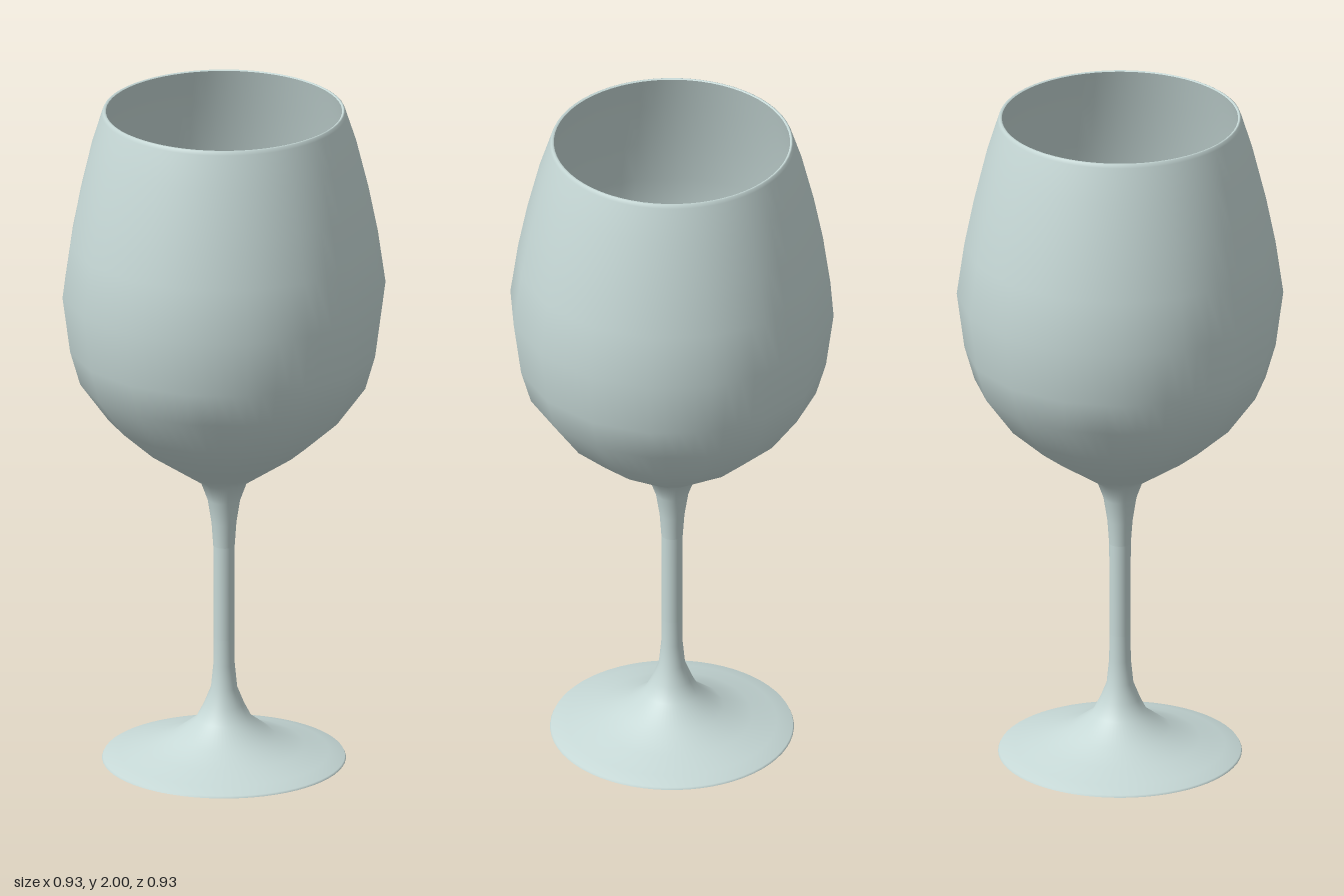
import * as THREE from 'three';

const SEGMENTS = 64; // round edges (rim and foot)
const SIDES = 16;    // faceted silhouette of bowl and stem

// Turns a profile of [radius, height, facet]; facet 1 pulls the ring onto a 16-sided polygon,
// while the normals stay those of the smooth round form.
function turned(name, profile, material) {
  const geometry = new THREE.LatheGeometry(profile.map(([r, y]) => new THREE.Vector2(r, y)), SEGMENTS);
  const position = geometry.attributes.position;
  const step = (2 * Math.PI) / SIDES;
  for (let i = 0; i < position.count; i++) {
    const facet = profile[i % profile.length][2] ?? 0;
    const angle = (Math.floor(i / profile.length) / SEGMENTS) * 2 * Math.PI;
    const polygon = Math.cos(step / 2) / Math.cos((angle % step) - step / 2);
    const k = 1 + (polygon - 1) * facet;
    position.setX(i, position.getX(i) * k);
    position.setZ(i, position.getZ(i) * k);
  }
  const mesh = new THREE.Mesh(geometry, material);
  mesh.name = name;
  return mesh;
}

export function createModel() {
  const group = new THREE.Group();
  group.name = 'wineGlass';
  const glass = new THREE.MeshStandardMaterial({ color: 0xc6d8d6, side: THREE.DoubleSide });

  // Shallow underside of the foot
  const footBase = [[0, 0], [0.15, 0.003], [0.25, 0.012], [0.348, 0.037]];

  // Foot rising into the stem
  const foot = [
    [0.348, 0.037], [0.345, 0.043], [0.3, 0.056], [0.23, 0.077, 0.5], [0.148, 0.106, 1],
    [0.08, 0.157, 1], [0.058, 0.2, 1], [0.038, 0.25, 1], [0.031, 0.32, 1], [0.03, 0.4, 1],
  ];
  const stem = [[0.03, 0.4, 1], [0.03, 0.55, 1], [0.031, 0.68, 1]];

  // Outside of the bowl, from the flare of the stem to the rim
  const bowl = [
    [0.031, 0.68, 1], [0.036, 0.75, 1], [0.047, 0.82, 1], [0.067, 0.875, 1], [0.116, 0.908, 1],
    [0.237, 0.99, 1], [0.332, 1.075, 1], [0.415, 1.19, 1], [0.444, 1.29, 1], [0.466, 1.455, 1],
    [0.444, 1.61, 1], [0.417, 1.745, 0.7], [0.381, 1.89, 0.3], [0.349, 1.988],
    [0.345, 1.998], [0.341, 2], [0.337, 1.997],
  ];

  // Inside of the bowl, from the rim down to the axis
  const bowlInside = [
    [0.337, 1.997], [0.37, 1.885, 0.3], [0.405, 1.745, 0.7], [0.432, 1.61, 1], [0.454, 1.455, 1],
    [0.432, 1.29, 1], [0.403, 1.195, 1], [0.322, 1.085, 1], [0.229, 1.003, 1], [0.11, 0.93, 1], [0, 0.915],
  ];

  group.add(
    turned('footBase', footBase, glass),
    turned('foot', foot, glass),
    turned('stem', stem, glass),
    turned('bowl', bowl, glass),
    turned('bowlInside', bowlInside, glass),
  );
  return group;
}
